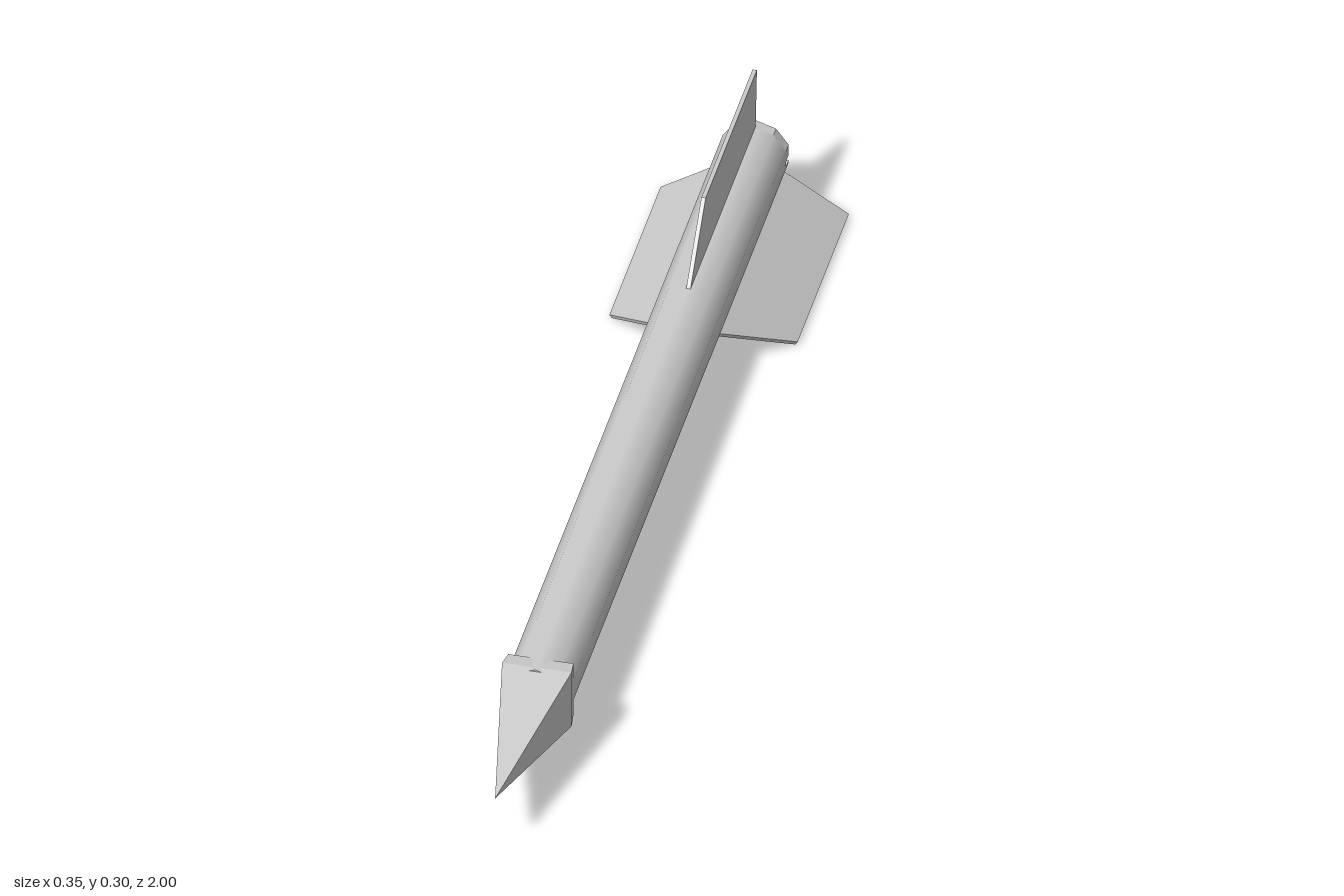
import * as THREE from 'three';

const AXIS_Y = 0.12;
const RADIUS = 0.064;
const SIDES = 10;

export function createModel() {
  const group = new THREE.Group();
  const smooth = new THREE.MeshStandardMaterial({ color: 0xcccccc });
  const flat = new THREE.MeshStandardMaterial({ color: 0xcccccc, flatShading: true });

  const add = (name, geometry, material, y = AXIS_Y) => {
    const mesh = new THREE.Mesh(geometry, material);
    mesh.name = name;
    mesh.position.y = y;
    group.add(mesh);
    return mesh;
  };

  // Ten-sided tube, with a corner at the bottom
  const body = new THREE.CylinderGeometry(RADIUS, RADIUS, 1.67, SIDES);
  body.rotateX(Math.PI / 2).translate(0, 0, -0.145);
  add('body', body, smooth);

  // Two halves of the tail end, parted by a slot
  const flatX = RADIUS * Math.cos(Math.PI / SIDES);
  for (const [name, side, slotY] of [['tailUpper', 1, -0.003], ['tailLower', -1, -0.015]]) {
    const points = [];
    for (let i = 0; i < 5; i++) {
      const a = Math.PI / SIDES + (i * 2 * Math.PI) / SIDES;
      points.push(new THREE.Vector2(RADIUS * Math.cos(a), side * RADIUS * Math.sin(a)));
    }
    points.push(new THREE.Vector2(-flatX, slotY), new THREE.Vector2(flatX, slotY));
    const tail = new THREE.ExtrudeGeometry(new THREE.Shape(points), { depth: 0.02, bevelEnabled: false });
    tail.translate(0, 0, -1);
    add(name, tail, flat);
  }

  // Four-sided pointed nose with a short collar behind its widest square
  const profile = [[0, 0.645], [0.085, 0.648], [0.0905, 0.68], [0, 1]]
    .map(([r, z]) => new THREE.Vector2(r, z));
  const nose = new THREE.LatheGeometry(profile, 4, Math.PI / 4);
  nose.rotateX(Math.PI / 2).scale(1, 0.94, 1);
  add('nose', nose, flat, 0.122);

  // Thin swept fins: one upright, two drooping
  const thickness = 0.008;
  const addFin = (name, angle, span, y) => {
    const outline = new THREE.Shape([
      [-0.47, 0.045], [-0.48, 0.06], [-0.6, span], [-0.993, span], [-0.982, 0.045],
    ].map(([z, r]) => new THREE.Vector2(z, r)));
    const fin = new THREE.ExtrudeGeometry(outline, { depth: thickness, bevelEnabled: false });
    fin.translate(0, 0, -thickness / 2).rotateY(-Math.PI / 2);
    add(name, fin, flat, y).rotation.z = THREE.MathUtils.degToRad(angle);
  };
  addFin('topFin', 0, 0.182, AXIS_Y);
  addFin('leftFin', -125, 0.209, 0.126);
  addFin('rightFin', 125, 0.209, 0.126);

  return group;
}
